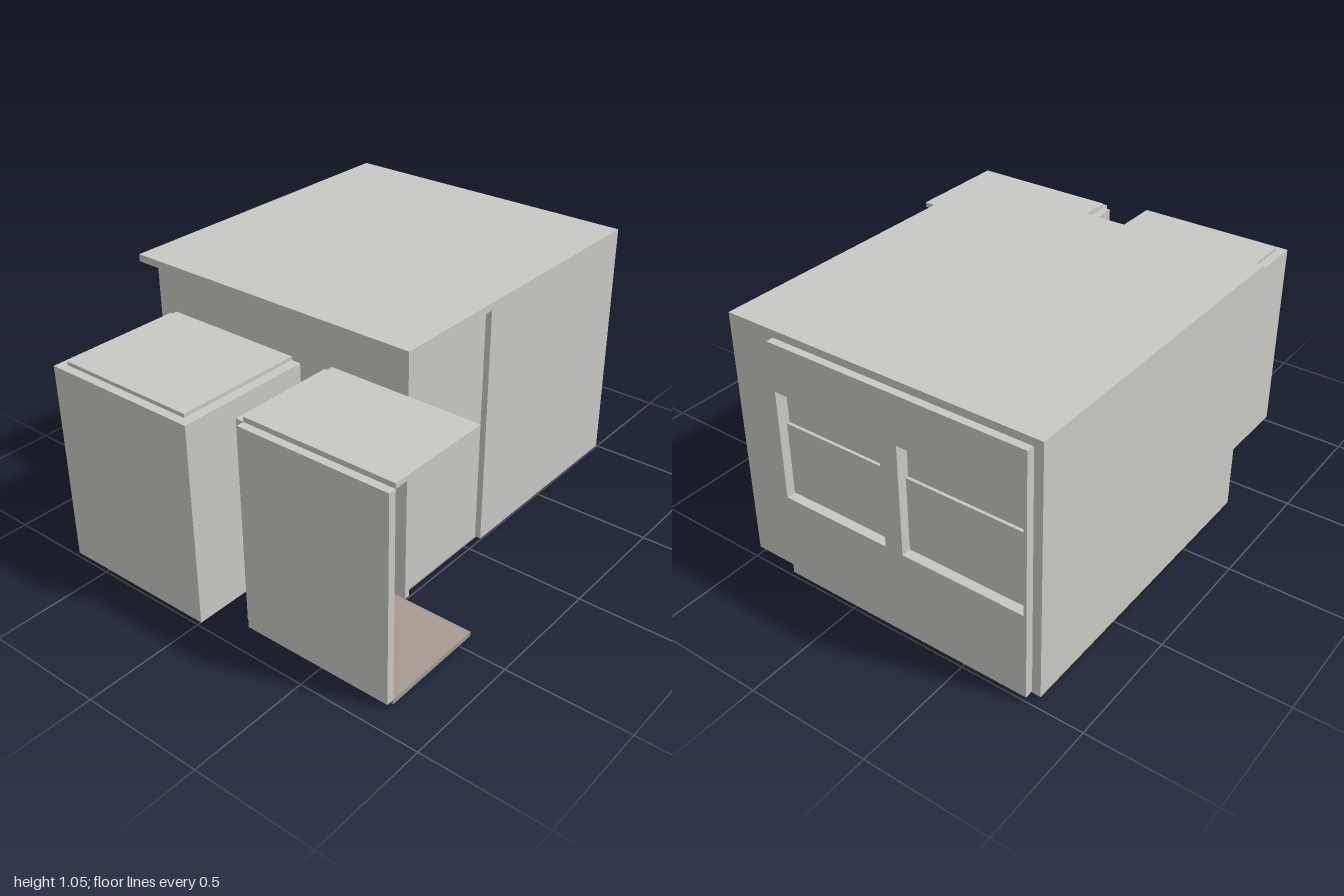
import * as THREE from 'three';

export function createModel() {
  const model = new THREE.Group();
  const mat = (name, color) => {
    const m = new THREE.MeshStandardMaterial({ color });
    m.name = name;
    return m;
  };
  const plaster = mat('plaster', 0xc9c8c3);
  const darkFloor = mat('dark floor', 0x9c9b93);
  const tile = mat('warm floor', 0xa89a91);
  const panel = mat('wall panel', 0x9c9691);

  // Axis-aligned slab given by its limits on each axis
  const slab = (name, [x0, x1], [y0, y1], [z0, z1], material = plaster) => {
    const mesh = new THREE.Mesh(new THREE.BoxGeometry(x1 - x0, y1 - y0, z1 - z0), material);
    mesh.position.set((x0 + x1) / 2, (y0 + y1) / 2, (z0 + z1) / 2);
    mesh.name = name;
    model.add(mesh);
  };
  const rect = (path, x0, x1, y0, y1) =>
    path.moveTo(x0, y0).lineTo(x1, y0).lineTo(x1, y1).lineTo(x0, y1).closePath();

  // Main room
  const tall = [0.02, 1.02];
  slab('mainRoof', [-0.81, 0.51], [1.02, 1.05], [-0.97, 0.43]);
  slab('mainFloor', [-0.775, 0.475], [0, 0.02], [-0.94, 0.4], darkFloor);
  slab('mainLeftWall', [-0.81, -0.775], tall, [-0.97, 0.34]);
  slab('mainRecessedFrontWall', [-0.775, -0.44], tall, [0.305, 0.34]);
  slab('mainFrontReturn', [-0.44, -0.405], tall, [0.305, 0.4]);
  slab('mainFrontWall', [-0.44, 0.51], tall, [0.405, 0.43]);
  slab('mainSideWall', [0.475, 0.51], tall, [-0.97, -0.06]);
  slab('mainRecessedSideWall', [0.455, 0.485], tall, [-0.06, 0.405]);
  slab('mainBackCorner', [0.3, 0.475], tall, [-0.97, -0.94]);

  // Back wall with two window openings
  const windows = [[-0.18, 0.288], [-0.76, -0.256]];
  const sill = 0.375, head = 0.825, rail = 0.675;
  const outline = new THREE.Shape();
  rect(outline, -0.772, 0.3, tall[0], tall[1]);
  for (const [x0, x1] of windows) {
    const hole = new THREE.Path();
    rect(hole, x0, x1, sill, head);
    outline.holes.push(hole);
  }
  const backWall = new THREE.Mesh(
    new THREE.ExtrudeGeometry(outline, { depth: 0.06, bevelEnabled: false }), plaster);
  backWall.position.z = -1;
  backWall.name = 'backWall';
  model.add(backWall);

  // Sliding sashes, the lower one standing slightly proud
  for (const [x0, x1] of windows) {
    slab('upperSash', [x0, x1], [rail, head], [-0.95, -0.94]);
    slab('lowerSash', [x0, x1], [sill, rail], [-0.962, -0.945]);
  }

  // Closed front annex
  const low = [0.02, 0.845];
  slab('closedAnnexFloor', [-0.62, -0.02], [0, 0.02], [0.43, 0.965]);
  slab('closedAnnexRoof', [-0.62, -0.02], [0.835, 0.86], [0.43, 0.965]);
  slab('closedAnnexFrontWall', [-0.655, 0.02], low, [0.965, 1]);
  for (const [x0, x1] of [[-0.655, -0.62], [-0.02, 0.02]])
    slab('closedAnnexSideWall', [x0, x1], low, [0.43, 0.965]);

  // Open front annex, with one side left open
  slab('openAnnexFloor', [0.17, 0.805], [0, 0.015], [0.43, 0.878], darkFloor);
  slab('openAnnexFloorFinish', [0.17, 0.805], [0.015, 0.02], [0.43, 0.878], tile);
  slab('openAnnexRoof', [0.17, 0.805], [0.86, 0.88], [0.43, 0.878]);
  slab('openAnnexFrontWall', [0.17, 0.805], [0.02, 0.86], [0.878, 0.91]);
  slab('openAnnexSideWall', [0.135, 0.17], [0.02, 0.86], [0.43, 0.878]);
  slab('wallMirror', [0.47, 0.71], [0.47, 0.64], [0.87, 0.878], panel);
  slab('door', [0.2, 0.45], [0.02, 0.67], [0.43, 0.437], panel);

  return model;
}
